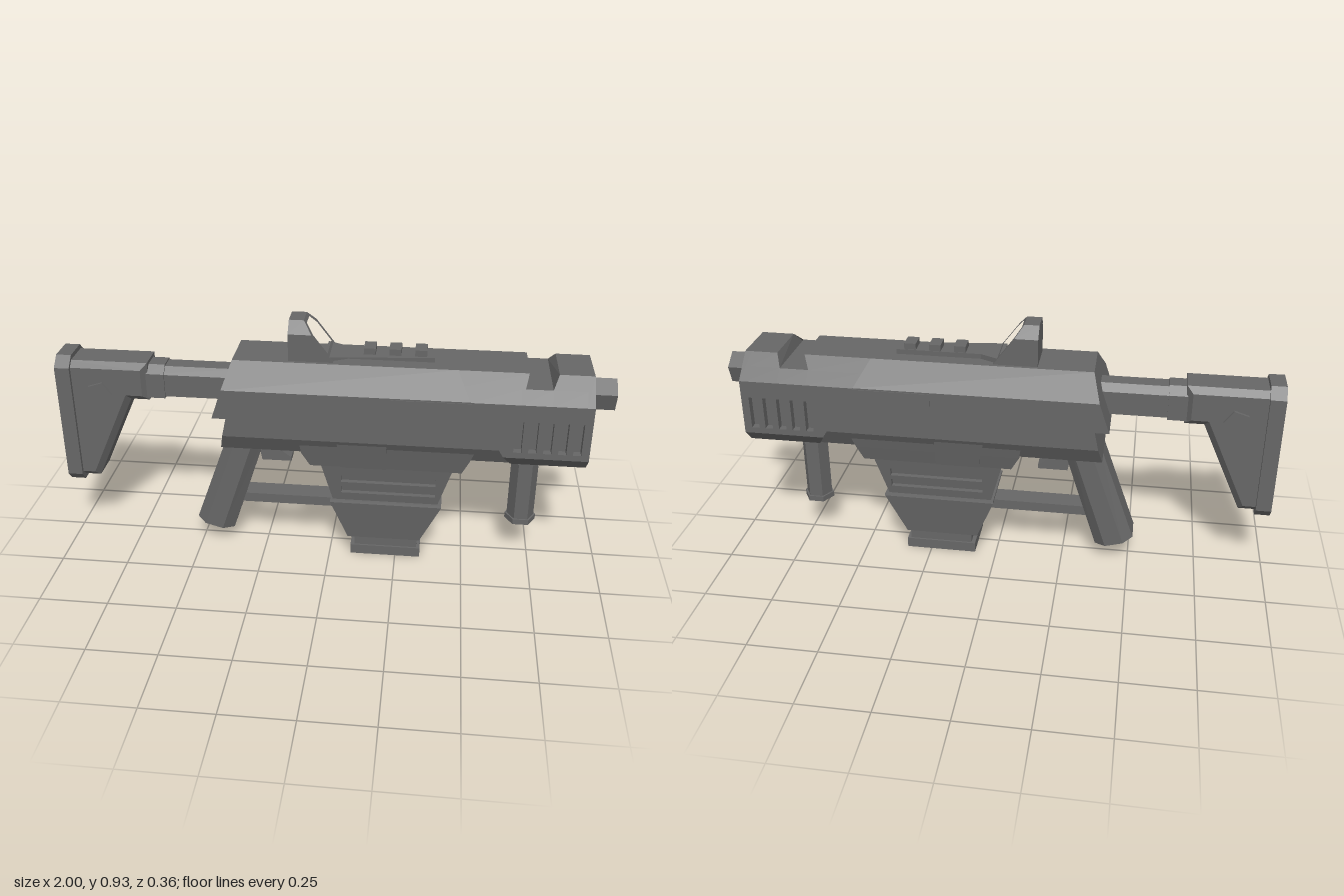
import * as THREE from 'three';

const gunmetal = new THREE.MeshStandardMaterial({ color: 0x666666 });
gunmetal.name = 'gunmetal';

// Mirror a half outline of [z, y] points to the other side
const sym = (half) => [...half, ...half.filter(p => p[0] !== 0).reverse().map(([z, y]) => [-z, y])];
const rectPts = (x0, x1, y0, y1) => [[x0, y0], [x1, y0], [x1, y1], [x0, y1]];
const toShape = (pts, holes = []) => {
  const s = new THREE.Shape(pts.map(p => new THREE.Vector2(...p)));
  s.holes = holes.map(h => new THREE.Path(h.map(p => new THREE.Vector2(...p))));
  return s;
};
const fn = (v) => (typeof v === 'function' ? v : () => v);

// Section in (z, y) swept along x; the end planes may depend on y
function prismX(pts, x0, x1, holes) {
  const g = new THREE.ExtrudeGeometry(toShape(pts, holes), { depth: 1, bevelEnabled: false });
  g.rotateY(Math.PI / 2);
  const p = g.attributes.position, a = fn(x0), b = fn(x1);
  for (let i = 0; i < p.count; i++) {
    const y = p.getY(i);
    p.setX(i, a(y) + (b(y) - a(y)) * p.getX(i));
  }
  g.computeVertexNormals();
  return g;
}

// Outline in (x, y) between two z values on side s, leaning outward by slope above yRef
function plate(pts, zIn, zOut, s = 1, holes = [], slope = 0, yRef = 0) {
  const g = new THREE.ExtrudeGeometry(toShape(pts, holes), { depth: zOut - zIn, bevelEnabled: false });
  g.translate(0, 0, s > 0 ? zIn : -zOut);
  const p = g.attributes.position;
  for (let i = 0; i < p.count; i++) p.setZ(i, p.getZ(i) + s * slope * (p.getY(i) - yRef));
  g.computeVertexNormals();
  return g;
}

// Solid through rings of [x, y, z] points, from bottom to top
function loft(rings) {
  const v = [], n = rings[0].length;
  const tri = (...t) => t.forEach(q => v.push(...q));
  for (let k = 0; k < rings.length - 1; k++) {
    for (let i = 0; i < n; i++) {
      const j = (i + 1) % n, lo = rings[k], hi = rings[k + 1];
      tri(lo[i], lo[j], hi[j]);
      tri(lo[i], hi[j], hi[i]);
    }
  }
  const lo = rings[0], hi = rings[rings.length - 1];
  for (let i = 1; i < n - 1; i++) {
    tri(lo[0], lo[i + 1], lo[i]);
    tri(hi[0], hi[i], hi[i + 1]);
  }
  const g = new THREE.BufferGeometry();
  g.setAttribute('position', new THREE.Float32BufferAttribute(v, 3));
  g.computeVertexNormals();
  return g;
}
const ring = (y, x0, x1, z) => [[x0, y, z], [x1, y, z], [x1, y, -z], [x0, y, -z]];
const box = (x0, x1, y0, y1, z) => loft([ring(y0, x0, x1, z), ring(y1, x0, x1, z)]);
const pentagon = (cx, cy, r, turn = Math.PI / 2) => Array.from({ length: 5 }, (_, i) => {
  const a = turn + i * Math.PI * 0.4;
  return [cx + r * Math.cos(a), cy + r * Math.sin(a)];
});

export function createModel() {
  const model = new THREE.Group();
  model.name = 'blaster';
  const add = (name, geometry) => {
    const m = new THREE.Mesh(geometry, gunmetal);
    m.name = name;
    model.add(m);
  };
  const sides = [['left', 1], ['right', -1]].map(([, s]) => [s > 0 ? 'Front' : 'Back', s]);

  // Receiver, ending at a slanted joint with the front shroud
  const joint = y => 0.50 + (0.695 - y) * 0.6;
  add('upperReceiver', prismX(sym([[0.09, 0.785], [0.175, 0.705], [0.175, 0.594]]),
    y => -0.345 - (0.785 - y) * 0.34, joint));
  add('lowerReceiver', prismX(sym([[0.175, 0.594], [0.175, 0.525], [0.14, 0.46]]),
    y => -0.36 - (0.594 - y) * 0.22, joint));

  // Front shroud core: side channels, and a notch across the top
  const low = [[0.178, 0.705], [0.15, 0.705], [0.15, 0.5], [0.178, 0.5], [0.13, 0.45]];
  const full = sym([[0.09, 0.785], [0.134, 0.745], ...low]);
  const notchRear = y => 0.665 + Math.max(0, y - 0.745) * 0.6;
  const notchFront = y => 0.77 + Math.max(0, y - 0.745) * 0.5;
  add('shroudRear', prismX(full, joint, notchRear));
  add('shroudNotch', prismX(sym([[0.134, 0.745], ...low]), 0.665, 0.77));
  add('shroudFront', prismX(full, notchFront, 0.885));
  add('muzzleRim', prismX(sym([[0.09, 0.785], [0.178, 0.705], [0.178, 0.5], [0.13, 0.45]]), 0.885, 0.91,
    [sym([[0.075, 0.748], [0.143, 0.688], [0.143, 0.515], [0.105, 0.482]])]));

  // Barrel
  add('barrel', prismX(pentagon(0, 0.681, 0.059), 0.87, 1.0, [pentagon(0, 0.681, 0.042)]));
  add('barrelCore', prismX(pentagon(0, 0.681, 0.045), 0.87, 0.94));

  // Vented side covers and raised side panels
  const vents = Array.from({ length: 5 }, (_, i) => rectPts(0.65 + i * 0.051, 0.678 + i * 0.051, 0.522, 0.642));
  for (const [n, s] of sides) {
    add('ventCover' + n, plate([[joint(0.705), 0.705], [joint(0.5), 0.5], [0.885, 0.5], [0.885, 0.705]],
      0.15, 0.178, s, vents));
    add('sidePanel' + n, plate([[0.22, 0.645], [0.32, 0.53], [joint(0.53), 0.53], [joint(0.7), 0.7], [0.22, 0.7]],
      0.172, 0.178, s));
  }

  // Magazine housing with grooved side covers
  add('housingCollar', loft([ring(0.405, -0.065, 0.48, 0.14), ring(0.46, -0.095, 0.505, 0.152),
    ring(0.53, -0.105, 0.53, 0.166)]));
  add('housingCore', loft([ring(0.245, 0.015, 0.40, 0.089), ring(0.41, -0.03, 0.45, 0.109)]));
  const grooves = [0.28, 0.328].map(y => rectPts(0.045, 0.39, y, y + 0.03));
  for (const [n, s] of sides) {
    add('housingCover' + n, plate([[0.015, 0.245], [0.40, 0.245], [0.45, 0.41], [-0.03, 0.41]],
      0.109, 0.127, s, grooves, 0.12, 0.41));
    add('collarTab' + n, plate([[0.03, 0.525], [0.05, 0.44], [0.05, 0.405], [0.21, 0.405], [0.21, 0.525]],
      0.136, 0.145, s, [], 0.21, 0.405));
  }
  add('magazine', loft([ring(0.08, 0.07, 0.34, 0.1), ring(0.24, 0.005, 0.415, 0.12), ring(0.248, 0.005, 0.415, 0.118)]));
  add('magazineNeck', box(0.095, 0.33, 0.03, 0.085, 0.085));
  add('magazineBase', box(0.08, 0.343, 0, 0.038, 0.092));

  // Pistol grip, trigger and lower guard
  const section = [[0, 0.05], [0.25, 0.085], [0.72, 0.085], [1, 0.05], [1, -0.05], [0.72, -0.085], [0.25, -0.085], [0, -0.05]];
  add('pistolGrip', loft([
    section.map(([u, z]) => [-0.515 + u * 0.14, 0.10 - u * 0.04, z]),
    section.map(([u, z]) => [-0.37 + u * 0.14, 0.5, z]),
  ]));
  add('trigger', plate([[-0.28, 0.47], [-0.26, 0.355], [-0.15, 0.355], [-0.15, 0.37], [-0.19, 0.40], [-0.205, 0.47]],
    -0.03, 0.03));
  add('lowerGuard', box(-0.4, 0.06, 0.173, 0.21, 0.04));

  // Hexagonal foregrip: radius, bottom, top
  [['foregripBase', 0.057, 0.145, 0.166], ['foregripShaft', 0.05, 0.16, 0.41],
    ['foregripRing', 0.06, 0.403, 0.425], ['foregripCollar', 0.074, 0.425, 0.46]].forEach(([name, r, y0, y1]) => {
    const g = new THREE.CylinderGeometry(r, r, y1 - y0, 6).toNonIndexed();
    g.rotateY(Math.PI / 6).translate(0.713, (y0 + y1) / 2, 0);
    g.computeVertexNormals();
    add(name, g);
  });

  // Sight hood, its base and the top rail
  const slope = y => -0.094 + (0.925 - y) * 0.75;
  add('sightHood', prismX(sym([[0.04, 0.925], [0.077, 0.885], [0.077, 0.785]]), -0.147, slope,
    [sym([[0.033, 0.913], [0.06, 0.88], [0.06, 0.812]])]));
  add('sightBack', prismX(sym([[0.035, 0.915], [0.065, 0.882], [0.065, 0.80]]), -0.146, -0.105));
  const base = [[-0.02, 0.075], [0.06, 0.035], [0.365, 0.035], [0.365, -0.035], [0.06, -0.035], [-0.02, -0.075]];
  add('topRail', loft([0.775, 0.803].map(y => base.map(([x, z]) => [x, y, z]))));
  for (let i = 0; i < 3; i++) add('railLug', box(0.115 + i * 0.09, 0.157 + i * 0.09, 0.8, 0.826, 0.032));

  // Stock tube
  add('stockTube', prismX(sym([[0.03, 0.722], [0.055, 0.697], [0.055, 0.612]]), -0.67, -0.33));
  add('stockTubeSleeve', prismX(sym([[0.032, 0.728], [0.06, 0.70], [0.06, 0.606]]), -0.68, -0.605));

  // Stock body with chamfered edges
  const outline = [[-0.97, 0.74], [-0.665, 0.74], [-0.665, 0.595], [-0.735, 0.595], [-0.885, 0.265], [-0.97, 0.265]];
  const stock = new THREE.ExtrudeGeometry(toShape(outline),
    { depth: 0.106, bevelEnabled: true, bevelSize: 0.022, bevelThickness: 0.022, bevelOffset: -0.022, bevelSegments: 1 });
  stock.translate(0, 0, -0.053);
  add('stockBody', stock);
  for (const [n, s] of sides) add('stockBoss' + n, plate(pentagon(-0.845, 0.622, 0.047, 1.25), 0.07, 0.086, s));

  // Butt plate
  add('buttPlate', prismX(sym([[0.05, 0.757], [0.088, 0.72], [0.088, 0.28], [0.06, 0.247]]), -1.0, -0.945));
  return model;
}
